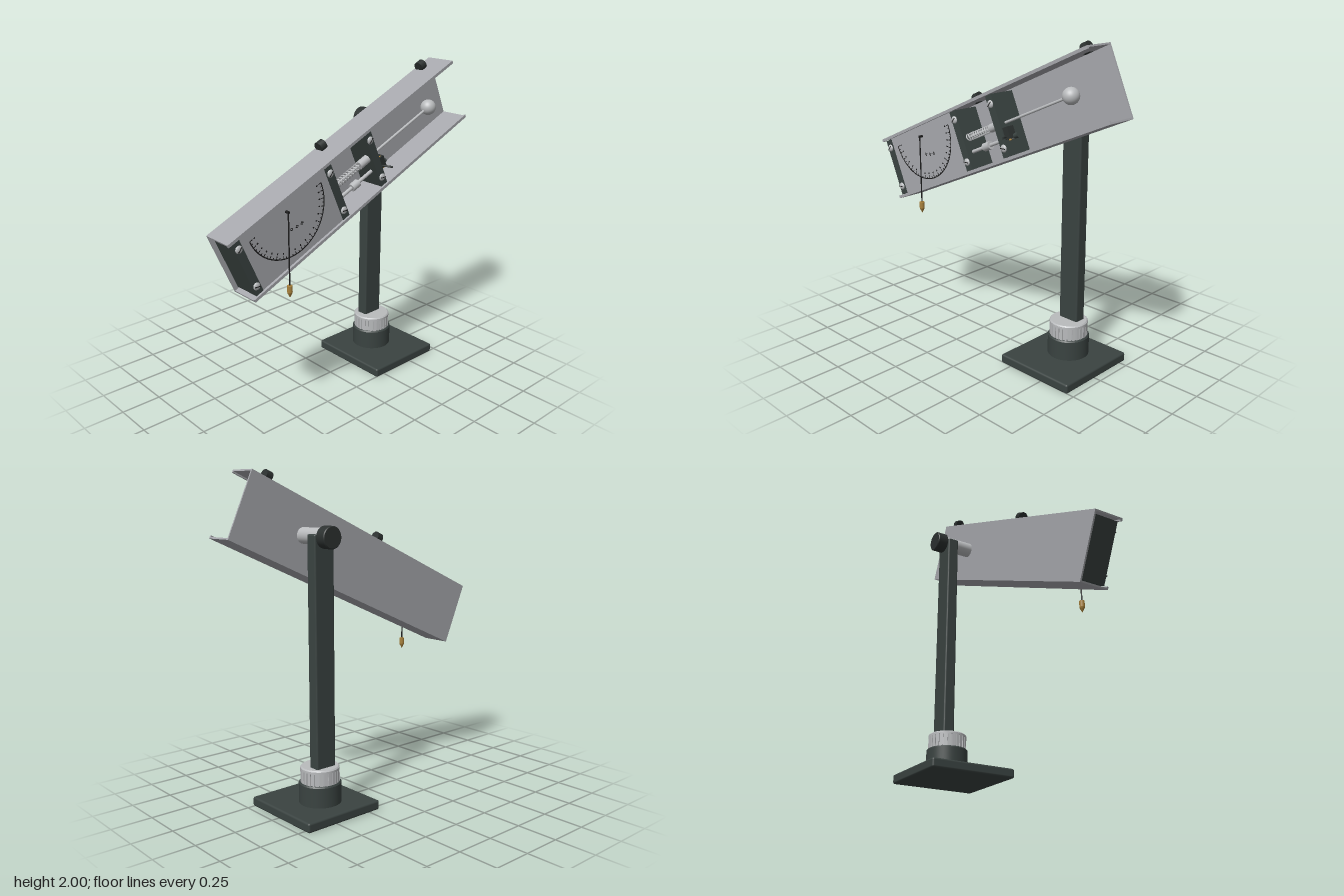
import * as THREE from 'three';
import { RoundedBoxGeometry } from 'three/addons/geometries/RoundedBoxGeometry.js';

const mat = (name, color, side = THREE.FrontSide) => {
  const m = new THREE.MeshStandardMaterial({ color, side });
  m.name = name;
  return m;
};

export function createModel() {
  const root = new THREE.Group();
  root.name = 'projectileLauncher';
  const grey = mat('channelGrey', 0xa6a7ac);
  const steel = mat('lightSteel', 0xb9bbbd);
  const dark = mat('darkGreenGrey', 0x3a4341);
  const knobDark = mat('knobCharcoal', 0x2c3130);
  const black = mat('markBlack', 0x1c1c1c, THREE.DoubleSide);
  const brass = mat('brass', 0xa9823c);

  const add = (parent, name, geo, material, x = 0, y = 0, z = 0) => {
    const m = new THREE.Mesh(geo, material);
    m.name = name;
    m.position.set(x, y, z);
    parent.add(m);
    return m;
  };
  const box = (w, h, d) => new THREE.BoxGeometry(w, h, d);
  const cyl = (r, l, n = 32) => new THREE.CylinderGeometry(r, r, l, n);
  const cylX = (r, l, n) => cyl(r, l, n).rotateZ(-Math.PI / 2);
  const cylZ = (r, l, n) => cyl(r, l, n).rotateX(Math.PI / 2);

  // ---- Stand: base plate, socket, knurled ring, post and pivot
  const stand = new THREE.Group();
  stand.name = 'stand';
  root.add(stand);
  const px = 0.442, pz = -0.062;
  add(stand, 'basePlate', new RoundedBoxGeometry(0.532, 0.058, 0.555, 3, 0.012), dark, px, 0.029, -0.018);
  const socket = [[0, 0.05], [0.127, 0.05], [0.127, 0.178], [0.121, 0.186], [0, 0.186]];
  // doubled corner points keep the lathe edges sharp
  const lathe = (pts, n) => new THREE.LatheGeometry(
    pts.flatMap(p => [new THREE.Vector2(...p), new THREE.Vector2(...p)]), n);
  add(stand, 'socket', lathe(socket, 48), dark, px, 0, pz);

  const ring = new THREE.Shape();
  const teeth = 28;
  for (let i = 0; i < teeth; i++) {
    [[0, 0.117], [0.76, 0.117], [0.78, 0.111], [0.98, 0.111]].forEach(([f, r], k) => {
      const a = (i + f) / teeth * Math.PI * 2;
      ring[i || k ? 'lineTo' : 'moveTo'](r * Math.cos(a), r * Math.sin(a));
    });
  }
  const ringGeo = new THREE.ExtrudeGeometry(ring, { depth: 0.074, bevelEnabled: false }).rotateX(-Math.PI / 2);
  add(stand, 'knurledRing', ringGeo, steel, px, 0.186, pz);
  add(stand, 'knurledRingRim', lathe([[0, 0.26], [0.117, 0.26], [0.117, 0.273], [0.11, 0.28], [0, 0.28]], 48), steel, px, 0, pz);
  add(stand, 'post', new RoundedBoxGeometry(0.138, 1.38, 0.074, 2, 0.01), dark, px, 0.95, -0.089);
  add(stand, 'pivotRod', cylZ(0.048, 0.205), steel, px, 1.626, -0.03);
  const knob = lathe([[0, 0], [0.06, 0], [0.065, 0.005], [0.065, 0.067], [0.06, 0.072], [0, 0.072]], 40);
  add(stand, 'pivotKnob', knob.rotateX(Math.PI / 2), knobDark, px, 1.623, -0.199);

  // ---- Tilted launcher body, built along its own x axis
  const body = new THREE.Group();
  body.name = 'launcherBody';
  body.position.set(0, 1.424, 0);
  body.rotation.z = 0.4163;
  root.add(body);
  const L = 1.89, H = 0.41, z0 = 0.066, z1 = 0.259;
  add(body, 'channelBack', box(L, H, 0.01), grey, 0, 0, z0 + 0.005);
  for (const s of [1, -1]) {
    add(body, 'channelFlange', box(L, 0.01, z1 - z0), grey, 0, s * (H / 2 - 0.005), (z0 + z1) / 2);
    add(body, 'channelLip', box(L, 0.018, 0.012), grey, 0, s * (H / 2 - 0.009), z1 - 0.006);
  }

  // Cross blocks with slotted screws
  for (const u of [-0.893, -0.189, 0.151]) {
    add(body, 'crossBlock', box(0.052, 0.37, 0.172), dark, u, 0, 0.162);
    for (const v of [0.132, -0.132]) {
      const head = new THREE.SphereGeometry(0.023, 24, 8, 0, Math.PI * 2, 0, Math.PI / 2);
      head.scale(1, 0.55, 1).rotateX(Math.PI / 2);
      add(body, 'screwHead', head, steel, u, v, 0.248);
      const slot = add(body, 'screwSlot', box(0.036, 0.005, 0.004), black, u, v, 0.2595);
      slot.rotation.z = v > 0 ? 0.5 : -0.4;
    }
  }

  // Protractor plate with arc, ticks and small marks
  const protractor = new THREE.Group();
  protractor.name = 'protractor';
  body.add(protractor);
  add(protractor, 'protractorPlate', box(0.66, 0.375, 0.008), grey, -0.54, 0, 0.238);
  const cu = -0.541, cv = 0.122, R = 0.275, zf = 0.2435;
  add(protractor, 'protractorArc', new THREE.RingGeometry(R - 0.004, R + 0.003, 72, 1, Math.PI, Math.PI), black, cu, cv, zf);
  for (let d = 0; d <= 180; d += 5) {
    const a = Math.PI * (1 + d / 180), len = d % 10 ? 0.012 : 0.02;
    const r = R - len / 2;
    const tick = add(protractor, 'tick', box(len, 0.004, 0.002), black, cu + r * Math.cos(a), cv + r * Math.sin(a), zf);
    tick.rotation.z = a;
    if (d % 10 === 0) {
      const q = R - 0.034;
      add(protractor, 'degreeMark', box(0.01, 0.007, 0.002), black, cu + q * Math.cos(a), cv + q * Math.sin(a), zf).rotation.z = a;
    }
  }
  for (const [u, v] of [[-0.554, 0.005], [-0.515, -0.004], [-0.478, -0.008]])
    add(protractor, 'centreMark', new THREE.RingGeometry(0.006, 0.012, 4), black, u, v, zf);

  // Plunger: ball, rod, collar and spring
  const pv = 0.008, pzr = 0.2;
  add(body, 'ball', new THREE.SphereGeometry(0.048, 32, 20), steel, 0.703, pv, pzr);
  add(body, 'plungerRod', cylX(0.008, 0.86, 16), steel, 0.27, pv, pzr);
  add(body, 'plungerCollar', cylX(0.026, 0.08, 24), steel, 0.09, pv, pzr);
  const turns = 10, helix = [];
  for (let i = 0; i <= turns * 10; i++) {
    const a = i / 10 * Math.PI * 2;
    helix.push(new THREE.Vector3(-0.165 + 0.215 * i / (turns * 10), 0.02 * Math.cos(a), 0.02 * Math.sin(a)));
  }
  add(body, 'spring', new THREE.TubeGeometry(new THREE.CatmullRomCurve3(helix), 240, 0.0045, 6), steel, 0, pv, pzr);

  // Release rod with collar, latch and trigger
  add(body, 'releaseRod', cylX(0.011, 0.4, 16), steel, 0.035, -0.082, 0.2);
  add(body, 'releaseCollar', cylX(0.025, 0.055, 24), steel, -0.025, -0.082, 0.2);
  add(body, 'releaseTip', cylX(0.016, 0.03, 16), dark, 0.235, -0.082, 0.2);
  add(body, 'latchBlock', box(0.04, 0.07, 0.05), knobDark, 0.198, -0.055, 0.215);
  add(body, 'latchPin', cyl(0.008, 0.08, 12), brass, 0.2, -0.06, 0.225);
  const triggerPath = new THREE.CatmullRomCurve3([[0.185, -0.075, 0.225], [0.19, -0.075, 0.258],
    [0.2, -0.08, 0.278], [0.215, -0.092, 0.295]].map(p => new THREE.Vector3(...p)));
  add(body, 'trigger', new THREE.TubeGeometry(triggerPath, 16, 0.006, 8), knobDark);

  // Round sights on the upper flange
  for (const u of [-0.088, 0.82]) {
    add(body, 'sight', cylX(0.032, 0.042, 24), knobDark, u, 0.222, 0.107);
    add(body, 'sightFoot', box(0.036, 0.02, 0.04), knobDark, u, 0.212, 0.107);
  }

  // ---- Plumb line hanging from the protractor centre
  const plumb = new THREE.Group();
  plumb.name = 'plumbLine';
  plumb.position.set(-0.545, 0, 0.262);
  root.add(plumb);
  add(plumb, 'string', cyl(0.004, 0.44, 8), black, 0, 1.1, 0);
  add(plumb, 'stringPin', cylZ(0.008, 0.03, 12), black, 0, 1.316, -0.01);
  add(plumb, 'bob', lathe([[0, 0.81], [0.014, 0.838], [0.016, 0.845], [0.016, 0.884], [0, 0.888]], 20), brass);
  return root;
}
